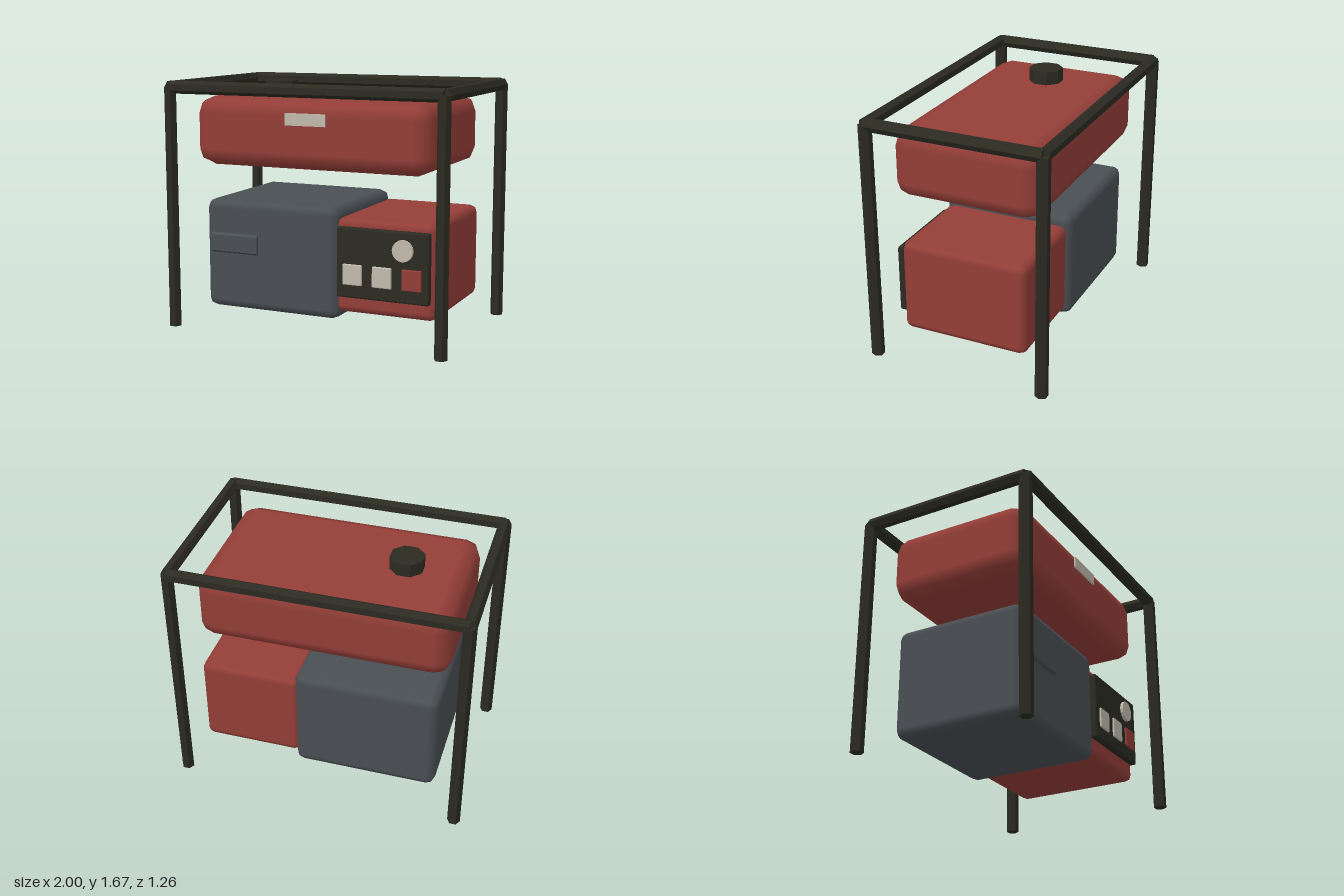
import * as THREE from 'three';
import { RoundedBoxGeometry } from 'three/addons/geometries/RoundedBoxGeometry.js';

export function createModel() {
  const model = new THREE.Group();
  model.name = 'portableGenerator';

  const mat = (name, color, flatShading = false) => {
    const m = new THREE.MeshStandardMaterial({ color, flatShading });
    m.name = name;
    return m;
  };
  const red = mat('red', 0x943e38);
  const grey = mat('slateGrey', 0x4a4f54);
  const dark = mat('darkOlive', 0x2b2b22, true);
  const pale = mat('paleGrey', 0xc2baad, true);

  const add = (name, geometry, material, x = 0, y = 0, z = 0, parent = model) => {
    const mesh = new THREE.Mesh(geometry, material);
    mesh.name = name;
    mesh.position.set(x, y, z);
    parent.add(mesh);
    return mesh;
  };
  // Box given by its limits, with chamfered edges of radius r
  const block = (name, material, [x0, x1], [y0, y1], [z0, z1], r) =>
    add(name, new RoundedBoxGeometry(x1 - x0, y1 - y0, z1 - z0, 1, r), material,
      (x0 + x1) / 2, (y0 + y1) / 2, (z0 + z1) / 2);

  // Hexagonal tube frame: four posts and a ring of rails
  const frame = new THREE.Group();
  frame.name = 'frame';
  model.add(frame);
  const R = 0.0433, px = 1 - R, pz = 0.5925, top = 1.6235;
  const tube = (length) => new THREE.CylinderGeometry(R, R, length, 6).rotateY(Math.PI / 6);
  for (const s of [-1, 1]) {
    for (const t of [-1, 1]) add('post', tube(top), dark, s * px, top / 2, t * pz, frame);
    add('longRail', tube(2 * px).rotateZ(Math.PI / 2), dark, 0, top, s * pz, frame);
    add('sideRail', tube(2 * pz).rotateX(Math.PI / 2), dark, s * px, top, 0, frame);
  }

  // Fuel tank with filler cap and front plate
  block('fuelTank', red, [-0.838, 0.835], [1.1, 1.56], [-0.505, 0.507], 0.11);
  add('fuelCap', new THREE.CylinderGeometry(0.115, 0.115, 0.11, 8).rotateY(Math.PI / 8), dark, -0.435, 1.595, 0);
  add('tankPlate', new THREE.BoxGeometry(0.285, 0.08, 0.01), pale, -0.002, 1.435, 0.519);

  // Engine and alternator housings
  block('engineHousing', grey, [-0.78, 0.2], [0.125, 0.87], [-0.46, 0.465], 0.06);
  block('alternatorHousing', red, [0.17, 0.862], [0.18, 0.808], [-0.434, 0.44], 0.05);

  // Starter grip: a bar with sloped top and bottom
  const profile = new THREE.Shape([[0, -0.078], [0.036, -0.055], [0.036, 0.055], [0, 0.078]]
    .map(([z, y]) => new THREE.Vector2(-z, y)));
  const grip = new THREE.ExtrudeGeometry(profile, { depth: 0.345, bevelEnabled: false })
    .rotateY(Math.PI / 2).toNonIndexed();
  grip.computeVertexNormals();
  add('starterGrip', grip, grey, -0.725, 0.578, 0.45);

  // Control panel with gauge, two sockets and a switch
  block('controlPanel', dark, [0.2, 0.833], [0.295, 0.755], [0.43, 0.482], 0.012);
  add('gauge', new THREE.CylinderGeometry(0.07, 0.07, 0.026, 16).rotateX(Math.PI / 2), pale, 0.661, 0.638, 0.49);
  [['socket', 0.314, pale], ['socket', 0.517, pale], ['powerSwitch', 0.719, red]].forEach(([name, x, m]) =>
    block(name, m, [x - 0.066, x + 0.066], [0.383, 0.519], [0.47, 0.495], 0.006));

  return model;
}
